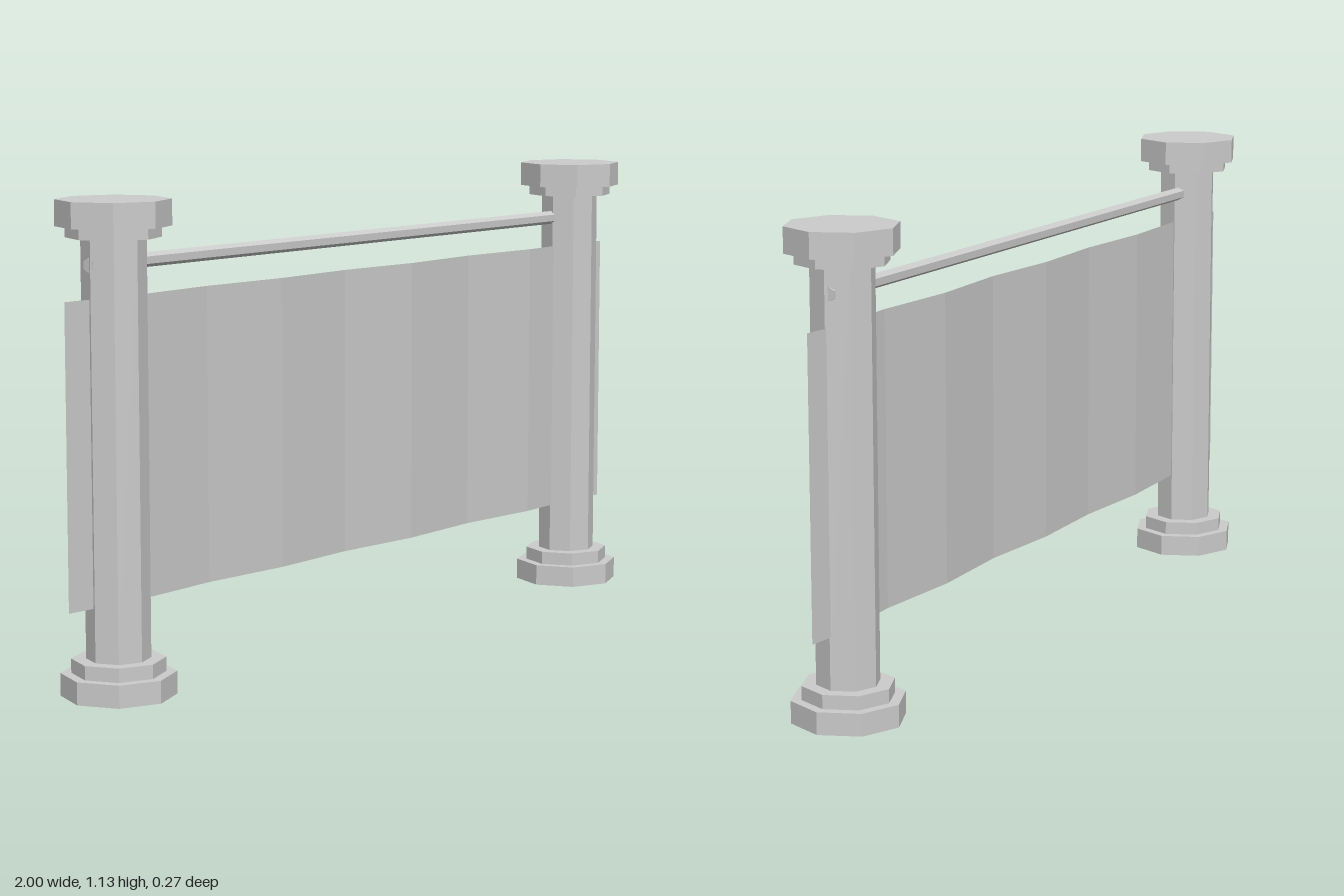
import * as THREE from 'three';

const material = new THREE.MeshStandardMaterial({ color: 0xcccccc, flatShading: true });
const sheetMaterial = new THREE.MeshStandardMaterial({
  color: 0xcccccc, flatShading: true, side: THREE.DoubleSide,
});

// Octagonal post: stacked prisms given as [name, radius, bottom, top]
const POST_TIERS = [
  ['base', 0.133, 0, 0.053],
  ['baseStep', 0.108, 0.053, 0.086],
  ['shaft', 0.074, 0.086, 1.045],
  ['neck', 0.108, 1.045, 1.07],
  ['cap', 0.131, 1.07, 1.13],
];

function createPost(name, x) {
  const post = new THREE.Group();
  post.name = name;
  post.position.x = x;
  for (const [tier, radius, bottom, top] of POST_TIERS) {
    const mesh = new THREE.Mesh(new THREE.CylinderGeometry(radius, radius, top - bottom, 8), material);
    mesh.name = tier;
    mesh.position.y = (bottom + top) / 2;
    post.add(mesh);
  }
  return post;
}

// Six-sided rail passing through both posts
function createRail() {
  const geometry = new THREE.CylinderGeometry(0.017, 0.017, 1.862, 6);
  geometry.rotateY(Math.PI / 2); // a corner points up once the rail is laid down
  geometry.rotateZ(Math.PI / 2);
  const rail = new THREE.Mesh(geometry, material);
  rail.name = 'topRail';
  rail.position.set(0.002, 0.986, -0.008);
  return rail;
}

// Thin sheet with shallow vertical folds, as [x, z] along its length
function createPanel() {
  const folds = [
    [-1, -0.012], [-0.79, 0.003], [-0.545, -0.009], [-0.3, 0.004], [-0.055, -0.007],
    [0.185, 0.008], [0.433, -0.006], [0.677, 0.008], [0.92, -0.004], [1, 0.004],
  ];
  const geometry = new THREE.PlaneGeometry(2, 0.7, folds.length - 1, 1);
  const position = geometry.attributes.position;
  for (let i = 0; i < position.count; i++) {
    const [x, z] = folds[i % folds.length];
    position.setX(i, x);
    position.setZ(i, z);
  }
  geometry.computeVertexNormals();
  const panel = new THREE.Mesh(geometry, sheetMaterial);
  panel.name = 'foldedPanel';
  panel.position.y = 0.56;
  return panel;
}

export function createModel() {
  const model = new THREE.Group();
  model.name = 'fenceSection';
  model.add(
    createPost('rightPost', -0.857),
    createPost('leftPost', 0.862),
    createRail(),
    createPanel(),
  );
  return model;
}
